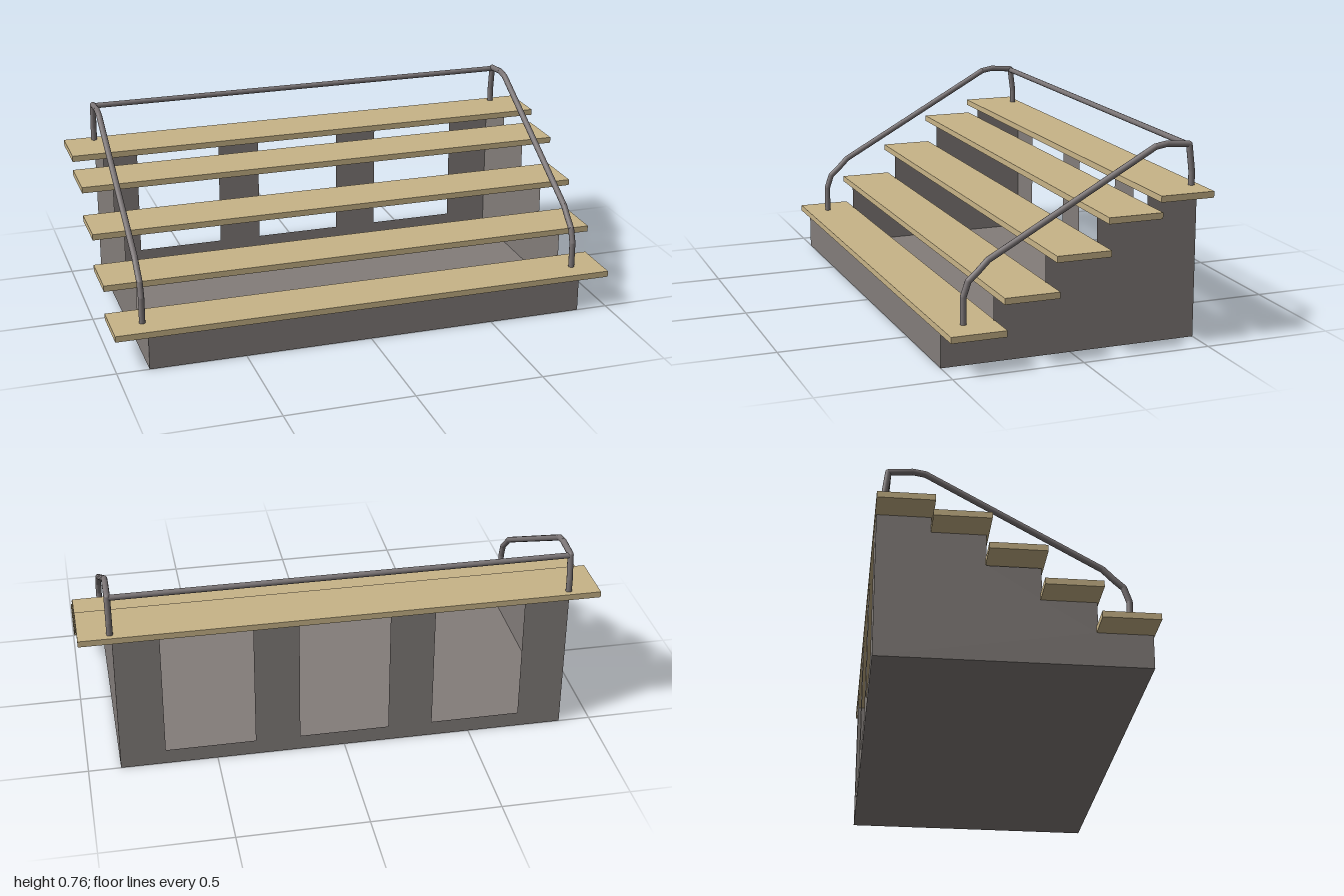
import * as THREE from 'three';

const wood = new THREE.MeshStandardMaterial({ color: 0xc8b488 });
wood.name = 'wood';
const concrete = new THREE.MeshStandardMaterial({ color: 0x837d7a, side: THREE.DoubleSide });
concrete.name = 'concrete grey';
const steel = new THREE.MeshStandardMaterial({ color: 0x7a7475 });
steel.name = 'steel';

const HALF = 0.875;  // half width of the base
const RAIL_X = 0.88;

function addMesh(parent, name, geometry, material) {
  const mesh = new THREE.Mesh(geometry, material);
  mesh.name = name;
  parent.add(mesh);
  return mesh;
}

function sheet(points) {
  return new THREE.ShapeGeometry(new THREE.Shape(points.map(([x, y]) => new THREE.Vector2(x, y))));
}

// Straight round bar between two points
function bar(parent, name, a, b, radius) {
  const mesh = addMesh(parent, name, new THREE.CylinderGeometry(radius, radius, a.distanceTo(b), 12), steel);
  mesh.position.copy(a).add(b).multiplyScalar(0.5);
  mesh.quaternion.setFromUnitVectors(new THREE.Vector3(0, 1, 0), b.clone().sub(a).normalize());
}

// Bent bar with rounded joints, running in the yz plane
function handrail(x) {
  const rail = new THREE.Group();
  rail.name = x > 0 ? 'leftHandrail' : 'rightHandrail';
  const path = [
    [0.416, 0.155], [0.416, 0.257], [0.397, 0.312], [0.362, 0.343], [0.322, 0.383],
    [-0.324, 0.741], [-0.37, 0.749], [-0.461, 0.741], [-0.474, 0.64], [-0.474, 0.58],
  ].map(([z, y]) => new THREE.Vector3(x, y, z));
  for (let i = 1; i < path.length; i++) {
    bar(rail, 'railSection', path[i - 1], path[i], 0.012);
    if (i < path.length - 1) {
      addMesh(rail, 'railJoint', new THREE.SphereGeometry(0.012, 12, 8), steel).position.copy(path[i]);
    }
  }
  return rail;
}

export function createModel() {
  const model = new THREE.Group();
  model.name = 'steppedSeating';

  // Stepped side walls
  const stepTops = [0.13, 0.25, 0.378, 0.505, 0.565];
  const profile = [[-0.5, 0]];
  stepTops.forEach((y, i) => {
    const z = 0.5 - i * 0.2;
    profile.push([-z, y], [-(z - 0.2), y]);
  });
  profile.push([0.5, 0]);
  for (const s of [1, -1]) {
    const wall = addMesh(model, s > 0 ? 'leftWall' : 'rightWall', sheet(profile), concrete);
    wall.rotation.y = Math.PI / 2;
    wall.position.x = s * HALF;
  }

  // Back wall: low sill with four posts
  const back = [[-HALF, 0], [HALF, 0], [HALF, 0.565]];
  for (const [right, left] of [[0.7, 0.35], [0.175, -0.175], [-0.35, -0.7]]) {
    back.push([right, 0.565], [right, 0.06], [left, 0.06], [left, 0.565]);
  }
  back.push([-HALF, 0.565]);
  addMesh(model, 'backWall', sheet(back), concrete).position.z = -0.5;

  // Front riser and floor
  const riser = addMesh(model, 'frontRiser', new THREE.PlaneGeometry(HALF * 2, 0.13), concrete);
  riser.position.set(0, 0.065, 0.5);
  addMesh(model, 'floor', new THREE.PlaneGeometry(HALF * 2, 1), concrete).rotation.x = -Math.PI / 2;

  // Wooden treads: [bottom height, centre z]
  const treads = [[0.131, 0.4], [0.25, 0.2], [0.382, 0.003], [0.503, -0.196], [0.564, -0.399]];
  for (const [y, z] of treads) {
    const tread = addMesh(model, 'tread', new THREE.BoxGeometry(2, 0.024, 0.211), wood);
    tread.position.set(0, y + 0.012, z);
  }

  // Handrails and rear crossbar
  model.add(handrail(RAIL_X), handrail(-RAIL_X));
  bar(model, 'rearCrossbar', new THREE.Vector3(-RAIL_X, 0.737, -0.461),
    new THREE.Vector3(RAIL_X, 0.737, -0.461), 0.011);

  return model;
}
